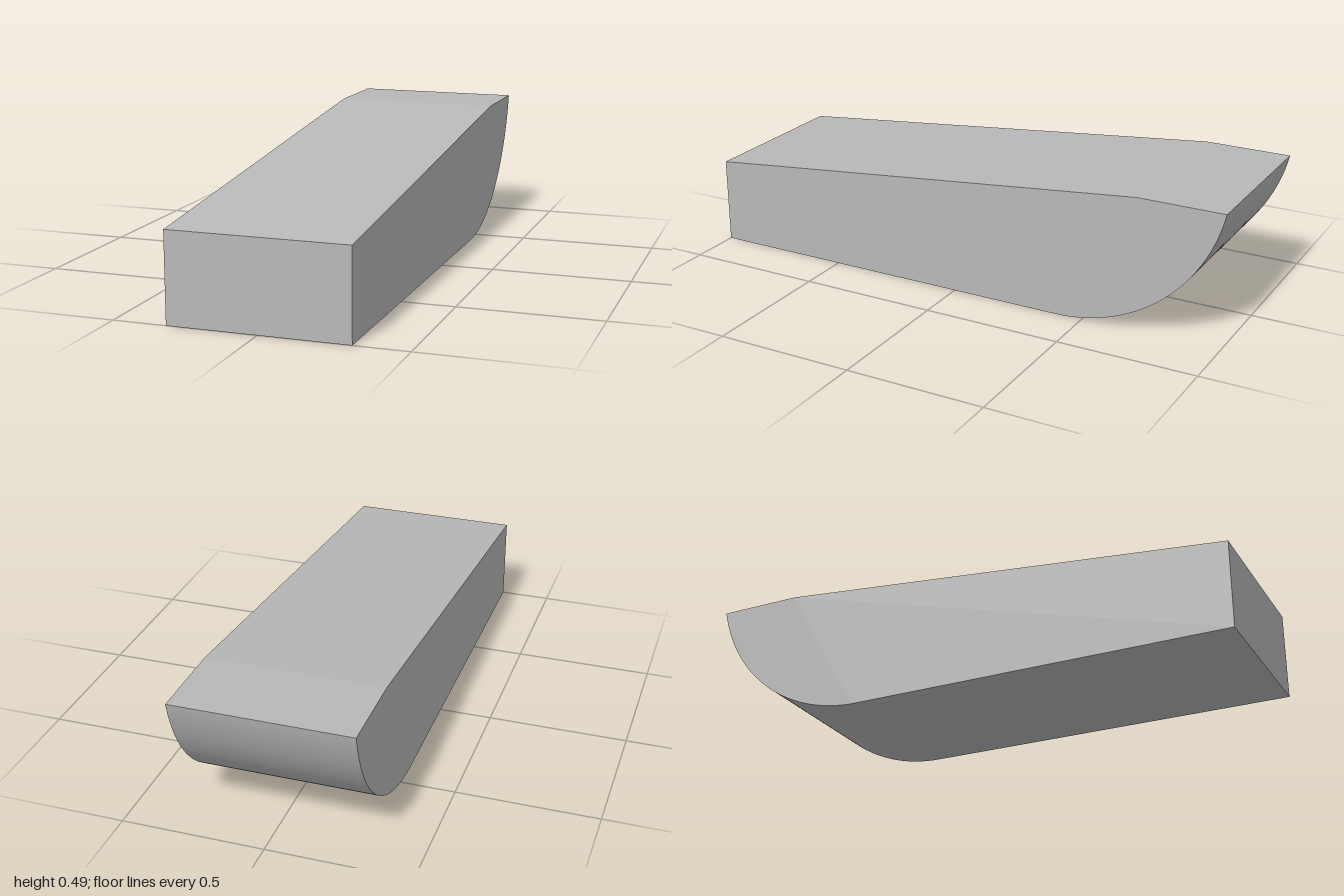
import * as THREE from 'three';

export function createModel() {
  const group = new THREE.Group();
  const grey = new THREE.MeshStandardMaterial({ color: 0xb8b8b8 });
  grey.name = 'light grey';

  const width = 0.625, top = 0.486, frontHeight = 0.314;
  const arcZ = -0.4;
  // Radius of the arc tangent to the base that ends at the back top edge
  const run = 1 + arcZ;
  const radius = (run * run + top * top) / (2 * top);

  // Side profile: shape x becomes model z
  const profile = new THREE.Shape();
  profile.moveTo(1, 0);
  profile.lineTo(1, frontHeight);
  profile.lineTo(-0.69, top);
  profile.lineTo(-1, top);
  profile.absarc(arcZ, radius, radius, Math.atan2(top - radius, -run), -Math.PI / 2, false);
  profile.lineTo(1, 0);

  // Sloped block with a rounded back underside
  const geometry = new THREE.ExtrudeGeometry(profile, { depth: width, bevelEnabled: false, curveSegments: 24 });
  geometry.translate(0, 0, -width / 2);
  geometry.rotateY(-Math.PI / 2);

  const block = new THREE.Mesh(geometry, grey);
  block.name = 'slopedBlock';
  group.add(block);
  return group;
}
